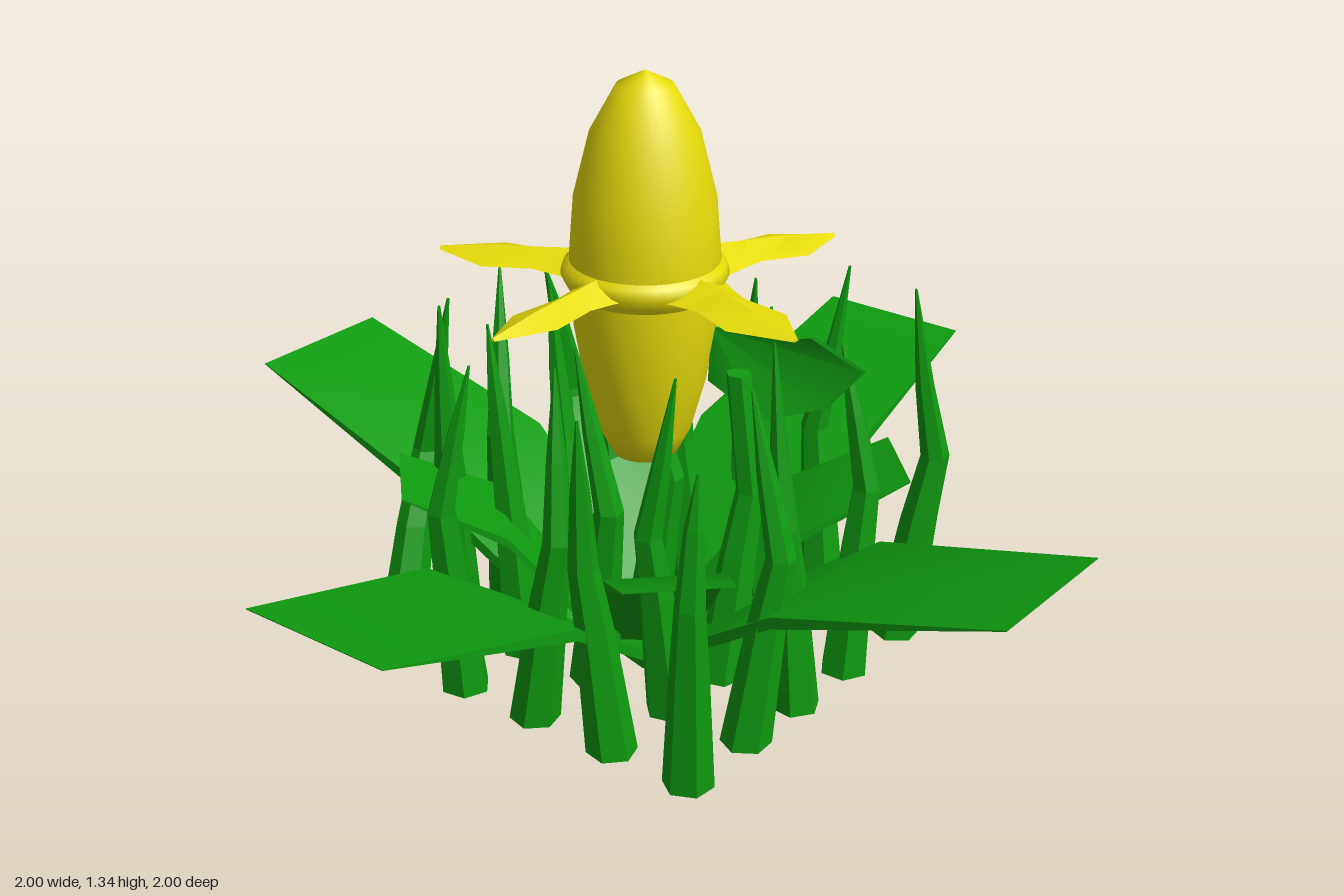
import * as THREE from 'three';
import { toCreasedNormals } from 'three/addons/utils/BufferGeometryUtils.js';

const green = new THREE.MeshStandardMaterial({ color: 0x0f9b0f, flatShading: true });
const leafGreen = new THREE.MeshStandardMaterial({ color: 0x0f9b0f, side: THREE.DoubleSide });
const yellow = new THREE.MeshStandardMaterial({ color: 0xe6dc0a });

// Small seeded generator for the irregular grass
function seeded(seed) {
  return () => (seed = (seed * 16807) % 2147483647) / 2147483647;
}

// Skin a list of equal-sized rings and cap both ends
function loft(rings) {
  const pos = [];
  const n = rings[0].length;
  const tri = (...pts) => pts.forEach((p) => pos.push(...p));
  for (let i = 0; i < rings.length - 1; i++) {
    for (let j = 0; j < n; j++) {
      const k = (j + 1) % n;
      const [a, b, c, d] = [rings[i][j], rings[i][k], rings[i + 1][k], rings[i + 1][j]];
      tri(a, d, c);
      tri(a, c, b);
    }
  }
  const first = rings[0];
  const last = rings[rings.length - 1];
  for (let j = 1; j < n - 1; j++) {
    tri(first[0], first[j], first[j + 1]);
    tri(last[0], last[j + 1], last[j]);
  }
  const geo = new THREE.BufferGeometry();
  geo.setAttribute('position', new THREE.Float32BufferAttribute(pos, 3));
  return toCreasedNormals(geo, 0.7);
}

function add(parent, name, geo, mat, angle = 0) {
  const mesh = new THREE.Mesh(geo, mat);
  mesh.name = name;
  mesh.rotation.y = -angle;
  parent.add(mesh);
  return mesh;
}

// Flat leaf along +x; each section is [distance, height, half width, half thickness]
function leafGeometry(sections) {
  return loft(sections.map(([r, y, w, t]) => [
    [r, y - t, w], [r, y + t, w], [r, y + t, -w], [r, y - t, -w],
  ]));
}

// Ridged petal along +x; each section is [distance, height, half width, ridge]
function petalGeometry(sections, width) {
  return loft(sections.map(([r, y, w, t]) => [
    [r, y - t * 0.4, w * width], [r, y + t, 0], [r, y - t * 0.4, -w * width], [r, y - t, 0],
  ]));
}

// Six-sided stalk; each section is [x, y, z, radius]
function stalkGeometry(sections, turn) {
  return loft(sections.map(([x, y, z, r]) => Array.from({ length: 6 }, (_, j) => {
    const a = turn + (j * Math.PI) / 3;
    return [x + r * Math.cos(a), y, z + r * Math.sin(a)];
  })));
}

export function createModel() {
  const model = new THREE.Group();
  model.name = 'floweringPlant';

  // Egg-shaped flower centre
  const budProfile = [
    [0, 0.47], [0.07, 0.5], [0.1, 0.56], [0.13, 0.67], [0.152, 0.8], [0.16, 0.95],
    [0.15, 1.08], [0.115, 1.22], [0.06, 1.32], [0, 1.35],
  ].map(([x, y]) => new THREE.Vector2(x, y));
  add(model, 'bud', new THREE.LatheGeometry(budProfile, 32), yellow);

  // Slim collar that carries the petals
  const collarProfile = [[0.15, 0.87], [0.165, 0.89], [0.178, 0.915], [0.172, 0.935], [0.155, 0.948]]
    .map(([x, y]) => new THREE.Vector2(x, y));
  add(model, 'collar', new THREE.LatheGeometry(collarProfile, 32), yellow);

  // Five petals, flared where they meet the collar
  const petals = new THREE.Group();
  petals.name = 'petals';
  const petalShape = [
    [0.12, 0.915, 0.1, 0.028], [0.18, 0.915, 0.078, 0.025], [0.24, 0.915, 0.062, 0.02],
    [0.35, 0.912, 0.078, 0.016], [0.47, 0.908, 0.008, 0.004],
  ];
  [21, 105, 180, 248, 314].forEach((deg) => {
    const narrow = deg === 180;
    const petal = add(petals, 'petal', petalGeometry(petalShape, narrow ? 0.75 : 1), yellow, THREE.MathUtils.degToRad(deg));
    if (narrow) petal.scale.x = 1.06;
  });
  // The whorl leans slightly
  petals.rotation.z = -0.02;
  model.add(petals);

  // Four broad leaves
  const leaves = new THREE.Group();
  leaves.name = 'leaves';
  const broad = leafGeometry([
    [0, 0.03, 0.08, 0.01], [0.1, 0.06, 0.135, 0.012], [0.28, 0.19, 0.17, 0.014],
    [0.48, 0.33, 0.205, 0.014], [1, 0.49, 0.18, 0.001],
  ]);
  for (let i = 0; i < 4; i++) add(leaves, 'broadLeaf', broad, leafGreen, (i * Math.PI) / 2);

  // Four shorter diagonal leaves: [reach, tip height], front left first
  [[0.565, 0.44], [0.565, 0.465], [0.53, 0.465], [0.51, 0.465]].forEach(([reach, tip], i) => {
    const short = leafGeometry([
      [0, 0.02, 0.05, 0.012], [0.15, 0.14, 0.09, 0.012],
      [reach * 0.58, tip - 0.11, 0.13, 0.01], [reach, tip, 0.113, 0.001],
    ]);
    add(leaves, 'shortLeaf', short, leafGreen, (i * Math.PI) / 2 + Math.PI / 4);
  });
  model.add(leaves);

  // Small raised leaf beside the bud
  const raised = [
    [0.06, 0.8, 0.13], [0.06, 0.82, 0.32], [0.12, 0.81, 0.34], [0.19, 0.73, 0.42],
    [0.15, 0.64, 0.35], [0.06, 0.62, 0.26], [0.05, 0.68, 0.13],
  ];
  add(model, 'raisedLeaf', loft([raised, raised.map(([x, y, z]) => [x + 0.01, y, z + 0.01])]), leafGreen);

  // Five by five patch of bent grass stalks
  const grass = new THREE.Group();
  grass.name = 'grass';
  const rand = seeded(71);
  // Corner stalks bend their own way: [knee x, knee z, tip x, tip z, top]
  const corners = {
    '0,0': [0.17, -0.05, 0.18, 0.02, 0.82],
    '4,0': [-0.05, 0.05, -0.12, 0.12, 0.8],
    '0,4': [-0.04, 0.03, -0.03, 0.04, 0.74],
    '4,4': [0.05, 0.05, 0, 0.01, 0.85],
  };
  [-0.38, -0.18, 0, 0.19, 0.4].forEach((x, i) => {
    [-0.4, -0.2, 0, 0.21, 0.41].forEach((z, j) => {
      const bend = rand() * Math.PI * 2;
      const reach = 0.03 + 0.04 * rand();
      const swing = rand() * Math.PI * 2;
      const kx = Math.cos(bend) * reach;
      const kz = Math.sin(bend) * reach;
      const loose = [
        kx, kz, kx * 0.4 + 0.05 * Math.cos(swing), kz * 0.4 + 0.05 * Math.sin(swing), 0.76 + 0.11 * rand(),
      ];
      const [dx, dz, tx, tz, top] = corners[`${i},${j}`] ?? loose;
      const sections = [
        [x, 0.01, z, 0.055], [x + dx * 0.6, 0.3, z + dz * 0.6, 0.041], [x + dx, 0.45, z + dz, 0.032],
      ];
      if (i === 2 && j === 3) {
        // One stalk in front of the bud ends bluntly
        sections.push([x + 0.05, 0.72, z, 0.028]);
      } else {
        sections.push(
          [x + (dx + tx) / 2, 0.62, z + (dz + tz) / 2, 0.021],
          [x + tx, top, z + tz, 0.003],
        );
      }
      add(grass, 'grassStalk', stalkGeometry(sections, rand()), green);
    });
  });
  model.add(grass);

  return model;
}
